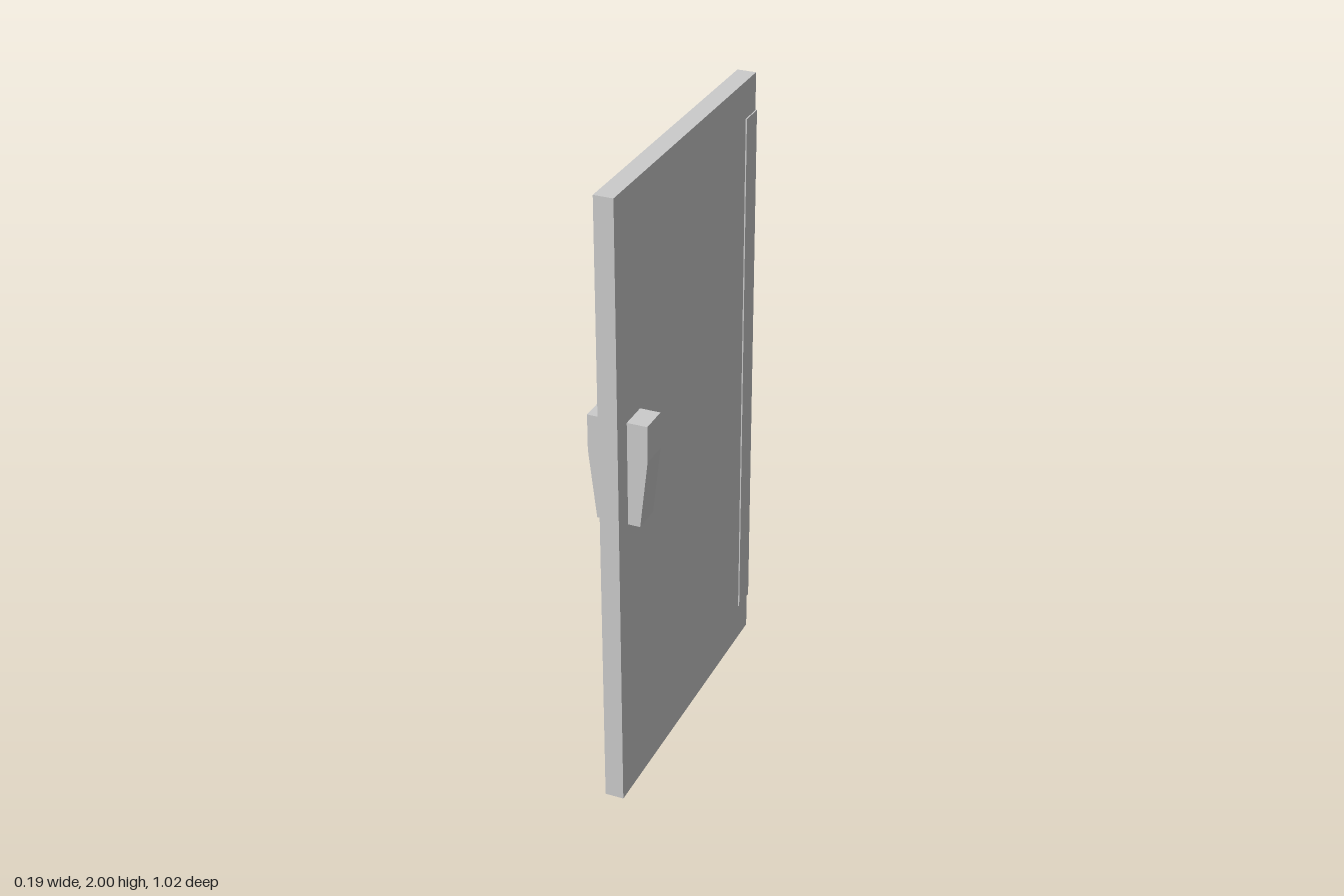
import * as THREE from 'three';

const material = new THREE.MeshStandardMaterial({ color: 0xcccccc, flatShading: true, side: THREE.DoubleSide });

// Box given by its minimum and maximum corners
function block(name, min, max) {
  const size = max.map((v, i) => v - min[i]);
  const mesh = new THREE.Mesh(new THREE.BoxGeometry(...size), material);
  mesh.position.set(...max.map((v, i) => (v + min[i]) / 2));
  mesh.name = name;
  return mesh;
}

// Handle: straight upper part, tapering towards the door below
function handle(name, side) {
  const inner = 0.03, outer = 0.093, tip = 0.068;
  const profile = [[inner, 0.96], [tip, 0.96], [outer, 1.18], [outer, 1.295], [inner, 1.295]];
  const points = profile.map(([x, y]) => new THREE.Vector2(side * x, y));
  const geometry = new THREE.ExtrudeGeometry(new THREE.Shape(points), { depth: 0.092, bevelEnabled: false });
  const mesh = new THREE.Mesh(geometry, material);
  mesh.position.set(-0.003, 0, 0.361);
  mesh.name = name;
  return mesh;
}

export function createModel() {
  const door = new THREE.Group();
  door.name = 'door';

  // Flat door leaf
  door.add(block('doorPanel', [-0.035, 0, -0.509], [0.025, 2, 0.512]));

  // Hinge cover wrapped around the back edge
  door.add(block('hingeStrip', [-0.048, 0.125, -0.512], [0.029, 1.88, -0.43]));

  // One handle on each face
  door.add(handle('leftHandle', 1), handle('rightHandle', -1));
  return door;
}
